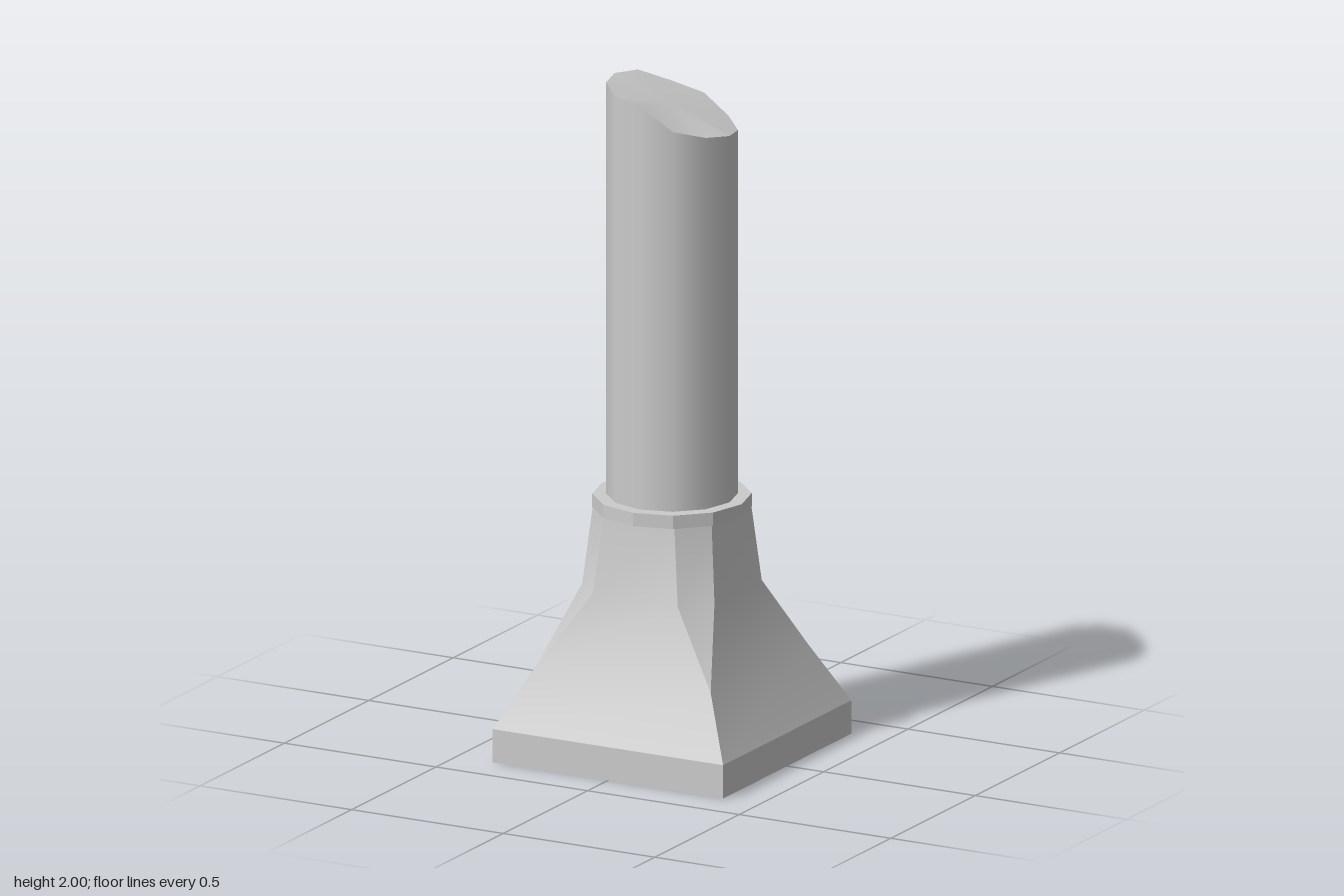
import * as THREE from 'three';

const grey = (opts = {}) => new THREE.MeshStandardMaterial({ color: 0xcccccc, ...opts });

// Strip of quads between a left and a right edge, both listed bottom to top
function panel(left, right) {
  const pos = [], index = [];
  left.forEach((p, i) => {
    pos.push(...p, ...right[i]);
    if (i > 0) {
      const a = 2 * i - 2;
      index.push(a, a + 1, a + 3, a, a + 3, a + 2);
    }
  });
  const g = new THREE.BufferGeometry();
  g.setAttribute('position', new THREE.Float32BufferAttribute(pos, 3));
  g.setIndex(index);
  g.computeVertexNormals();
  return g;
}

export function createModel() {
  const model = new THREE.Group();
  const add = (name, geometry, material, parent = model) => {
    const mesh = new THREE.Mesh(geometry, material);
    mesh.name = name;
    parent.add(mesh);
    return mesh;
  };

  // Hollow flared base, open underneath: [height, distance of side, half width of side]
  const rows = [[0.1, 0.38, 0.38], [0.28, 0.288, 0.288], [0.5, 0.218, 0.14], [0.73, 0.196, 0.117]];
  const skirtRows = [[0, 0.38, 0.38], [0.1, 0.38, 0.38]];
  const side = (list, s) => list.map(([y, d, w]) => [s * w, y, d]);
  const skirt = panel(side(skirtRows, -1), side(skirtRows, 1));
  const slope = panel(side(rows, -1), side(rows, 1));
  const upper = rows.slice(1);
  const chamfer = panel(side(upper, 1), upper.map(([y, d, w]) => [d, y, w]));
  const shell = grey({ side: THREE.DoubleSide });
  const base = new THREE.Group();
  base.name = 'base';
  model.add(base);
  for (let i = 0; i < 4; i++) {
    const quarter = new THREE.Group();
    quarter.name = 'baseSide';
    quarter.rotation.y = i * Math.PI / 2;
    add('skirt', skirt, shell, quarter);
    add('slope', slope, shell, quarter);
    add('cornerChamfer', chamfer, shell, quarter);
    base.add(quarter);
  }

  // Twelve-sided collar
  const collar = add('collar', new THREE.CylinderGeometry(0.23, 0.23, 0.04, 12), grey({ flatShading: true }));
  collar.position.y = 0.745;

  // Broken shaft: rim heights counted from +z towards +x
  const rim = [1.975, 1.905, 1.88, 1.865, 1.855, 1.87, 1.92, 1.95, 1.99, 2, 2, 1.985];
  const rimHeight = (x, z) => rim[(Math.round(Math.atan2(x, z) * 6 / Math.PI) + 12) % 12];
  const r = 0.19, bottom = 0.75;
  const shaft = new THREE.CylinderGeometry(r, r, 1, 12, 1, true).translate(0, 0.5, 0);
  const sp = shaft.attributes.position;
  for (let i = 0; i < sp.count; i++)
    sp.setY(i, sp.getY(i) > 0.5 ? rimHeight(sp.getX(i), sp.getZ(i)) : bottom);
  add('shaft', shaft, grey());

  // Uneven broken face closing the shaft
  const cap = new THREE.CircleGeometry(r, 12).rotateX(-Math.PI / 2);
  const cp = cap.attributes.position;
  for (let i = 0; i < cp.count; i++)
    cp.setY(i, i === 0 ? 1.935 : rimHeight(cp.getX(i), cp.getZ(i)));
  cap.computeVertexNormals();
  add('brokenTop', cap, grey());

  return model;
}
